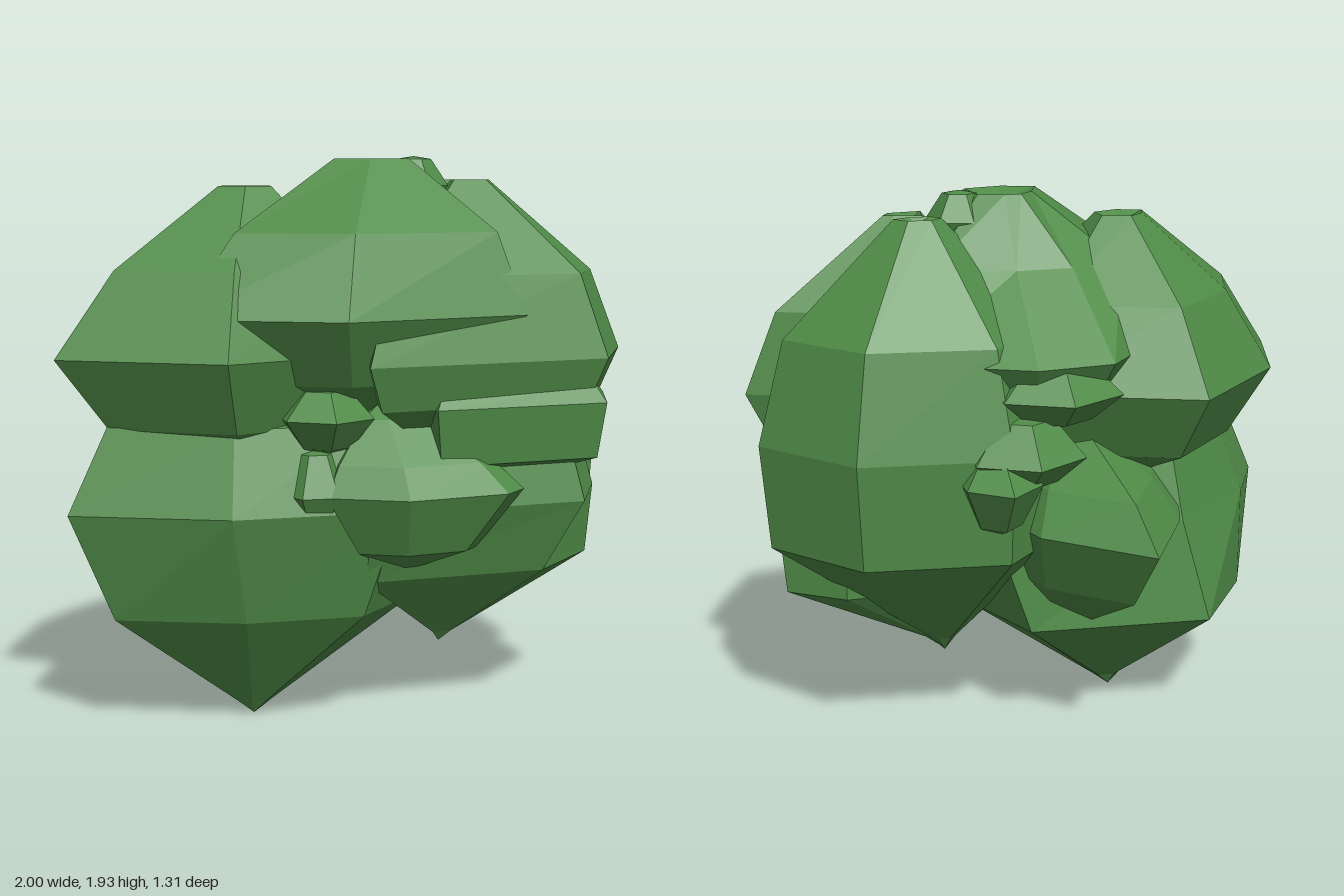
import * as THREE from 'three';

const foliage = new THREE.MeshStandardMaterial({ color: 0x4f8b47, flatShading: true });
foliage.name = 'leafGreen';

// A faceted clump: an outline [x, z] at its widest height, drawn in towards
// a bottom and a top point by rows of [height, scale] or [height, own outline].
// Outlines run front, right, back, left.
function clump(name, outline, y, bottom, top, below, above) {
  const n = outline.length;
  const ring = (pole, [h, s]) => (Array.isArray(s)
    ? s.map(([x, z]) => [x, h, z])
    : outline.map(([x, z]) => [pole[0] + (x - pole[0]) * s, h, pole[2] + (z - pole[2]) * s]));
  const rings = [
    ...below.map((r) => ring(bottom, r)),
    ring(top, [y, 1]),
    ...above.map((r) => ring(top, r)),
  ];
  const pos = [];
  const tri = (...pts) => pts.forEach((p) => pos.push(...p));
  for (let i = 0; i < n; i++) {
    const j = (i + 1) % n;
    tri(bottom, rings[0][j], rings[0][i]);
    for (let k = 0; k < rings.length - 1; k++) {
      const a = rings[k], b = rings[k + 1];
      tri(a[i], a[j], b[j]);
      tri(a[i], b[j], b[i]);
    }
    const last = rings[rings.length - 1];
    tri(last[i], last[j], top);
  }
  const geo = new THREE.BufferGeometry();
  geo.setAttribute('position', new THREE.Float32BufferAttribute(pos, 3));
  geo.computeVertexNormals();
  const mesh = new THREE.Mesh(geo, foliage);
  mesh.name = name;
  return mesh;
}

// A small six-sided tuft
function tuft(name, [x, y, z], [rx, up, down, rz], turn = 0) {
  const outline = [];
  for (let i = 0; i < 6; i++) {
    const a = turn + (i * Math.PI) / 3;
    outline.push([x + rx * Math.sin(a), z + rz * Math.cos(a)]);
  }
  return clump(name, outline, y, [x, y - down, z], [x, y + up, z],
    [[y - down * 0.75, 0.55]], [[y + up * 0.9, 0.5]]);
}

export function createModel() {
  const bush = new THREE.Group();
  bush.name = 'bush';
  bush.add(
    // Left side, upper and lower
    clump('upperLeftClump',
      [[-0.48, 0.58], [0.1, 0.36], [0.12, -0.2], [-0.46, -0.45], [-0.85, -0.09], [-1, 0.32]], 1.29,
      [-0.3, 0.85, 0.12], [-0.33, 1.8, 0.13],
      [[1.05, 0.75]], [[1.57, 0.7], [1.84, 0.16]]),
    clump('lowerLeftClump',
      [[-0.46, 0.51], [0.1, 0.5], [0.4, 0.2], [0.2, -0.15], [-0.48, -0.2], [-0.82, 0.06], [-0.97, 0.32]], 0.78,
      [-0.33, 0.01, 0.15], [-0.35, 1.2, 0.12],
      [[0.06, 0.09],
        [0.41, [[-0.4, 0.42], [0, 0.42], [0.23, 0.19], [0.08, -0.18], [-0.57, -0.26], [-0.82, 0.06], [-0.82, 0.28]]]],
      [[1.06, 0.78]]),

    // Crown, its skirt overhanging at front and back
    clump('crownClump',
      [[-0.11, 0.65], [0.53, 0.5], [0.5, -0.2], [0.12, -0.4], [-0.15, -0.38], [-0.4, -0.1], [-0.62, 0.43]], 1.42,
      [0.06, 0.95, 0.15], [0.1, 1.89, 0.17],
      [[1.2, 0.75]],
      [[1.69, [[-0.06, 0.53], [0.45, 0.42], [0.38, 0], [0.1, -0.08], [-0.1, -0.08], [-0.3, 0], [-0.42, 0.36]]],
        [1.93, 0.22]]),

    // Right side
    clump('upperRightClump',
      [[-0.03, 0.61], [0.82, 0.5], [1, 0.16], [0.75, 0.05], [0.1, -0.1]], 1.27,
      [0.4, 0.85, 0.2], [0.42, 1.83, 0.17],
      [[1.12, 0.88]], [[1.55, 0.8], [1.86, 0.14]]),
    clump('middleRightClump',
      [[0.21, 0.56], [0.82, 0.5], [0.92, 0.22], [0.75, 0.1], [0.2, 0.1]], 1.12,
      [0.5, 0.8, 0.2], [0.5, 1.22, 0.2],
      [[0.93, 0.93]], [[1.18, 0.9]]),
    clump('lowerRightClump',
      [[0.0, 0.53], [0.76, 0.47], [0.91, 0.17], [0.7, 0.02], [0.1, 0]], 0.78,
      [0.33, 0.24, 0.19], [0.45, 1.05, 0.2],
      [[0.28, 0.09], [0.53, [[0, 0.44], [0.64, 0.4], [0.89, 0.16], [0.7, 0.02], [0.1, 0]]]],
      [[0.95, 0.88]]),
    clump('backRightClump',
      [[0.6, 0.2], [0.98, 0.03], [0.71, -0.31], [0.2, -0.39], [-0.1, -0.1], [0.1, 0.2]], 1.12,
      [0.33, 0.26, 0.1], [0.4, 1.84, 0.08],
      [[0.32, 0.09], [0.75, 0.96]], [[1.48, 0.83], [1.86, 0.15]]),

    // Pointed mass at the back
    clump('backClump',
      [[-0.2, 0.1], [0.2, 0], [0.1, -0.36], [-0.21, -0.66], [-0.42, -0.32], [-0.5, -0.1]], 0.83,
      [-0.1, 0.3, 0.05], [-0.1, 1.2, -0.05],
      [[0.61, 0.78]], [[0.97, 0.75]]),

    // Front middle mass
    clump('frontClump',
      [[0.1, 0.63], [0.45, 0.58], [0.53, 0.5], [0.4, 0.2], [-0.1, 0.2], [-0.15, 0.52]], 0.84,
      [0.14, 0.56, 0.42], [0.06, 1.13, 0.38],
      [[0.64, 0.6]], [[0.94, 0.78], [1.08, 0.3]]),
  );

  // Small tufts: position, then [width, up, down, depth]
  const tufts = [
    ['frontTuft', [-0.13, 1.09, 0.4], [0.17, 0.1, 0.13, 0.17], 0],
    ['frontTuft', [-0.17, 0.84, 0.43], [0.12, 0.15, 0.12, 0.11], 0.5],
    ['backTuft', [0.02, 1.31, -0.25], [0.24, 0.12, 0.12, 0.23], 0],
    ['backTuft', [0.14, 1.11, -0.28], [0.22, 0.14, 0.12, 0.22], 0],
    ['backTuft', [0.24, 1.04, -0.31], [0.15, 0.1, 0.2, 0.22], 0],
    ['crownTuft', [0.24, 1.84, 0.14], [0.12, 0.1, 0.15, 0.11], 0.2],
  ];
  tufts.forEach((t) => bush.add(tuft(...t)));
  return bush;
}
